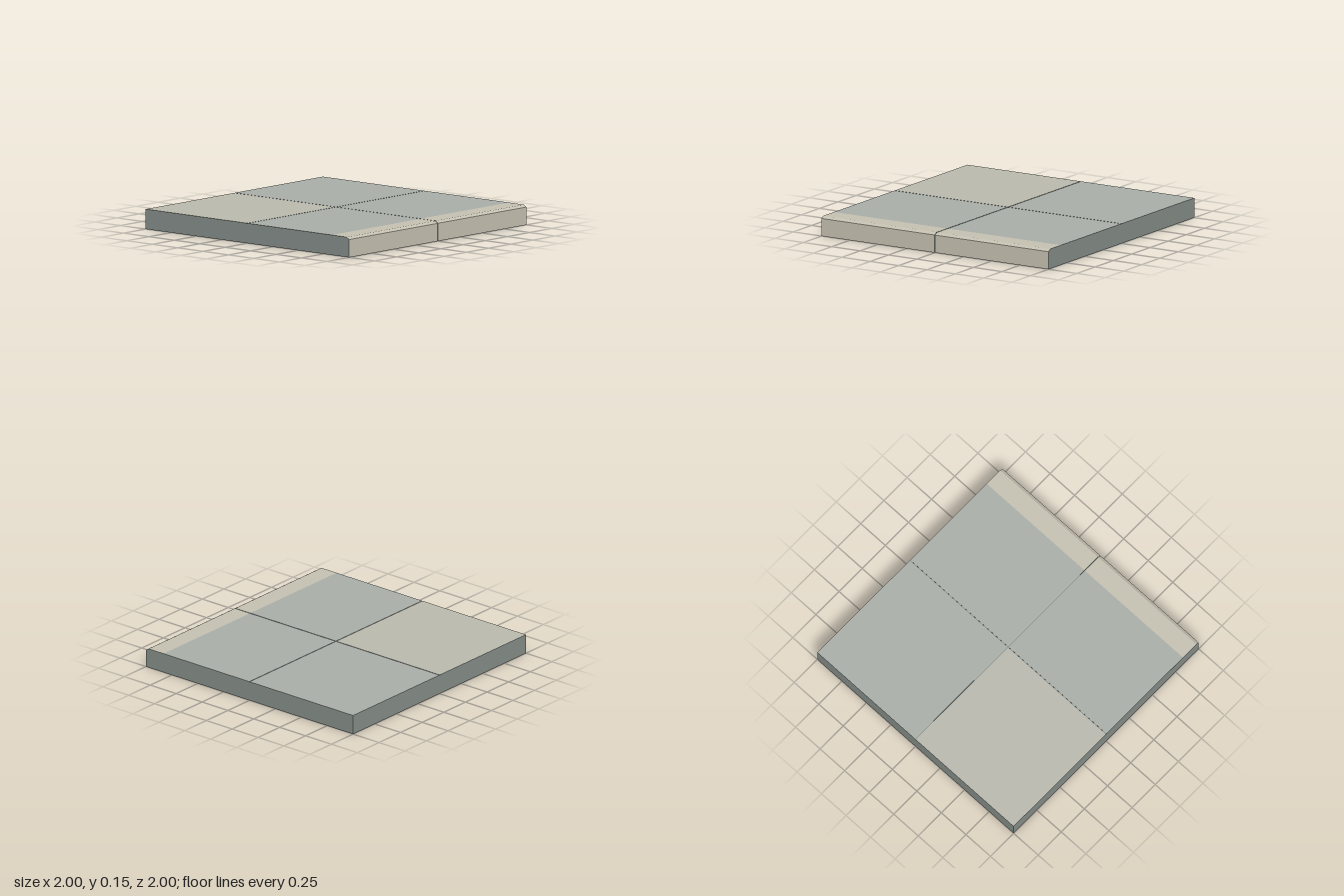
import * as THREE from 'three';

const H = 0.15;        // slab height
const KERB_Z = 0.83;   // where the kerb meets the tiles
const GAP = 0.003;     // half width of a joint
const TILE = 0.003;    // tile thickness above the grout

const mat = (color) => new THREE.MeshStandardMaterial({ color, flatShading: true });

export function createModel() {
  const group = new THREE.Group();
  const base = mat(0x858e89);
  const greyTile = mat(0xa9aea8);
  const warmTile = mat(0xb9b9ae);
  const kerbStone = mat(0xc5c1b1);

  const add = (name, geometry, material) => {
    const mesh = new THREE.Mesh(geometry, material);
    mesh.name = name;
    group.add(mesh);
    return mesh;
  };

  // Box given by its ranges
  const block = (name, x0, x1, y0, y1, z0, z1, material) =>
    add(name, new THREE.BoxGeometry(x1 - x0, y1 - y0, z1 - z0), material)
      .position.set((x0 + x1) / 2, (y0 + y1) / 2, (z0 + z1) / 2);

  // Chamfered kerb profile swept along x
  const kerb = (name, x0, x1, inset, material) => {
    const front = 1 - inset, top = H - inset;
    const shape = new THREE.Shape([
      [-front, 0], [-KERB_Z, 0], [-KERB_Z, top],
      [-front + 0.025, top], [-front, top - 0.016],
    ].map(([x, y]) => new THREE.Vector2(x, y)));
    const geometry = new THREE.ExtrudeGeometry(shape, { depth: x1 - x0, bevelEnabled: false });
    geometry.rotateY(Math.PI / 2);
    geometry.translate(x0, 0, 0);
    add(name, geometry, material);
  };

  // Grout-coloured body under the tiles
  block('slab', -1, 1, 0, H - TILE, -1, KERB_Z, base);

  // Four tiles, the back right one in a warmer tone
  for (const [x0, x1, xName] of [[-1, -GAP, 'Right'], [GAP, 1, 'Left']]) {
    for (const [z0, z1, zName] of [[-1, -GAP, 'back'], [GAP, KERB_Z, 'front']]) {
      const top = x0 < 0 && z0 < 0 ? warmTile : greyTile;
      block(`${zName}${xName}Tile`, x0, x1, H - TILE, H, z0, z1, [base, base, top, base, base, base]);
    }
    // Kerb half, its ends in the body colour
    kerb(`kerb${xName}`, x0, x1, 0, [base, kerbStone]);
  }

  // Recessed joint between the kerb halves
  kerb('kerbJoint', -GAP, GAP, TILE, base);

  return group;
}
